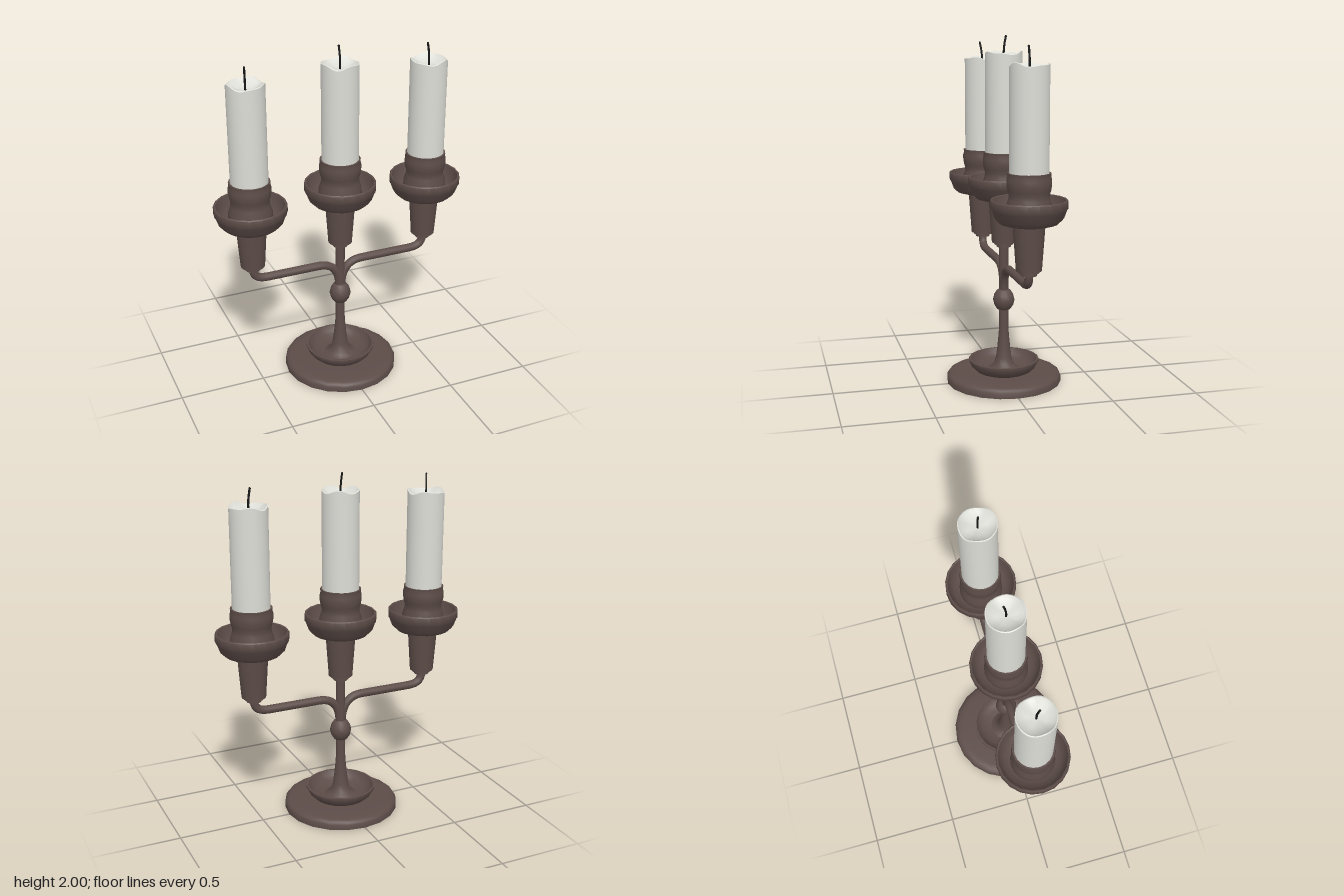
import * as THREE from 'three';
import { toCreasedNormals } from 'three/addons/utils/BufferGeometryUtils.js';

const metal = new THREE.MeshStandardMaterial({ color: 0x5c4c48 });
const wax = new THREE.MeshStandardMaterial({ color: 0xdcddd6 });
const char = new THREE.MeshStandardMaterial({ color: 0x161616 });

function add(parent, name, geometry, material) {
  const mesh = new THREE.Mesh(geometry, material);
  mesh.name = name;
  parent.add(mesh);
  return mesh;
}

// Turned part: profile pairs [radius, height], outside listed upward
function turned(profile, segments = 20) {
  const points = profile.map(([r, y]) => new THREE.Vector2(r, y));
  return toCreasedNormals(new THREE.LatheGeometry(points, segments), 0.7);
}

// Candle with a melted, wavy rim and a sunken pool
function candleGeometry(phase) {
  const R = 0.105, top = 1.862;
  const points = [[0, 1.1], [R, 1.1], [R, top - 0.05], [R, top], [0.099, top + 0.003],
    [0.085, top - 0.012], [0.05, top - 0.03], [0, top - 0.036]];
  const g = new THREE.LatheGeometry(points.map(([r, y]) => new THREE.Vector2(r, y)), 30);
  const p = g.attributes.position;
  for (let i = 0; i < p.count; i++) {
    const x = p.getX(i), y = p.getY(i), z = p.getZ(i);
    if (y < top - 0.045) continue;
    const a = Math.atan2(x, z) + phase;
    const wave = 0.008 * Math.sin(3 * a) + 0.005 * Math.sin(5 * a + 1) - 0.003;
    p.setY(i, y + wave * Math.pow(Math.hypot(x, z) / R, 2));
  }
  return toCreasedNormals(g, 0.7);
}

function wickGeometry(leanX, leanZ) {
  const path = new THREE.CatmullRomCurve3([
    new THREE.Vector3(0, 1.815, 0),
    new THREE.Vector3(0, 1.87, 0),
    new THREE.Vector3(leanX * 0.4, 1.915, leanZ * 0.4),
    new THREE.Vector3(leanX, 1.953, leanZ),
  ]);
  return new THREE.TubeGeometry(path, 8, 0.006, 6);
}

// Socket, drip dish, cup, candle and wick
function candleHolder(name, x, y, phase, leanX, leanZ) {
  const holder = new THREE.Group();
  holder.name = name;
  holder.position.set(x, y, 0);
  add(holder, 'socket', turned([[0, 0.757], [0.042, 0.757], [0.042, 0.77], [0.055, 0.772],
    [0.055, 0.782], [0.069, 0.784], [0.087, 1.04]]), metal);
  add(holder, 'dripDish', turned([[0, 1.03], [0.12, 1.03], [0.155, 1.04], [0.183, 1.068],
    [0.198, 1.11], [0.205, 1.12], [0.205, 1.16], [0.2, 1.166], [0.192, 1.163],
    [0.18, 1.115], [0.155, 1.075], [0.115, 1.06], [0, 1.06]]), metal);
  add(holder, 'candleCup', turned([[0.115, 1.055], [0.124, 1.09], [0.122, 1.13], [0.11, 1.165],
    [0.107, 1.19], [0.114, 1.212], [0.119, 1.24], [0.119, 1.27], [0.114, 1.288], [0.116, 1.305],
    [0.106, 1.305], [0.104, 1.25]]), metal);
  add(holder, 'candle', candleGeometry(phase), wax);
  add(holder, 'wick', wickGeometry(leanX, leanZ), char);
  // Wick tips
  const tip = add(holder, 'wickTip', new THREE.SphereGeometry(0.0065, 6, 4), char);
  tip.position.set(leanX, 1.953, leanZ);
  return holder;
}

export function createModel() {
  const model = new THREE.Group();
  model.name = 'candelabrum';

  // Foot: hollow underneath
  add(model, 'foot', turned([[0, 0.075], [0.05, 0.07], [0.13, 0.04], [0.28, 0.035], [0.322, 0.018],
    [0.327, 0], [0.335, 0], [0.335, 0.03], [0.328, 0.043], [0.31, 0.052], [0.28, 0.056],
    [0.12, 0.056]]), metal);
  add(model, 'footDish', turned([[0, 0.05], [0.08, 0.047], [0.135, 0.052], [0.165, 0.065], [0.19, 0.09],
    [0.205, 0.12], [0.205, 0.131], [0.193, 0.131], [0.178, 0.1], [0.15, 0.08], [0.11, 0.07],
    [0, 0.07]]), metal);
  add(model, 'stem', turned([[0.1, 0.068], [0.075, 0.08], [0.055, 0.105], [0.046, 0.14], [0.038, 0.2],
    [0.031, 0.27], [0.027, 0.33], [0.027, 0.82]], 16), metal);
  add(model, 'knop', turned([[0.025, 0.426], [0.04, 0.432], [0.056, 0.457], [0.063, 0.487],
    [0.056, 0.517], [0.04, 0.542], [0.025, 0.55]], 16), metal);

  // Curved arms
  for (const s of [1, -1]) {
    const v = (x, y) => new THREE.Vector3(s * x, y, 0);
    const path = new THREE.CurvePath();
    path.add(new THREE.LineCurve3(v(0.006, 0.52), v(0.008, 0.56)));
    path.add(new THREE.CubicBezierCurve3(v(0.008, 0.56), v(0.015, 0.645), v(0.055, 0.692), v(0.14, 0.692)));
    path.add(new THREE.LineCurve3(v(0.14, 0.692), v(0.44, 0.692)));
    path.add(new THREE.CubicBezierCurve3(v(0.44, 0.692), v(0.51, 0.692), v(0.535, 0.71), v(0.537, 0.768)));
    add(model, s > 0 ? 'leftArm' : 'rightArm', new THREE.TubeGeometry(path, 48, 0.024, 12), metal);
  }

  model.add(candleHolder('middleHolder', 0, 0.045, 0, -0.003, -0.013));
  model.add(candleHolder('leftHolder', 0.535, 0, 2.1, -0.012, 0.002));
  model.add(candleHolder('rightHolder', -0.535, 0, 4, -0.005, 0.012));
  return model;
}
